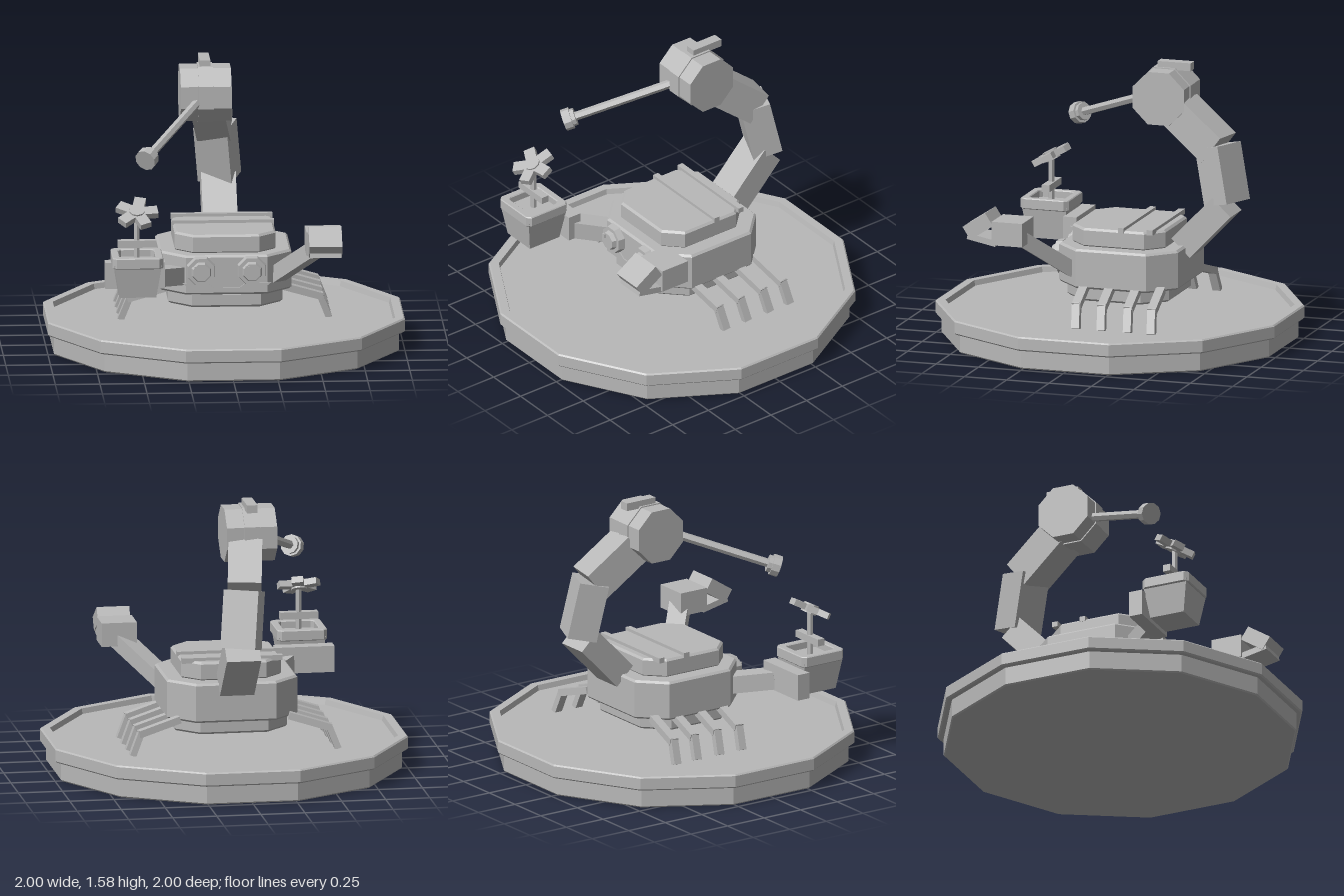
import * as THREE from 'three';

const V = (x, y, z) => new THREE.Vector3(x, y, z);

export function createModel() {
  const root = new THREE.Group();
  const grey = new THREE.MeshStandardMaterial({ color: 0xb8b8b8, flatShading: true });
  grey.name = 'plainGrey';

  function add(name, geo, parent = root) {
    const m = new THREE.Mesh(geo, grey);
    m.name = name;
    parent.add(m);
    return m;
  }

  function box(name, w, h, d, x, y, z, parent) {
    const m = add(name, new THREE.BoxGeometry(w, h, d), parent);
    m.position.set(x, y, z);
    return m;
  }

  // Box running from a to b, w wide sideways and t thick, twisted about its length
  function beam(name, a, b, w, t, side = V(1, 0, 0), twist = 0) {
    const dir = b.clone().sub(a);
    const m = add(name, new THREE.BoxGeometry(w, dir.length(), t));
    const y = dir.normalize();
    const z = side.clone().cross(y).normalize();
    const x = y.clone().cross(z);
    m.quaternion.setFromRotationMatrix(new THREE.Matrix4().makeBasis(x, y, z));
    m.rotateY(twist);
    m.position.copy(a).add(b).multiplyScalar(0.5);
    return m;
  }

  // Rectangle with cut corners
  function octagon(hx, hz, c, Kind = THREE.Shape) {
    return new Kind([
      [hx - c, -hz], [hx, c - hz], [hx, hz - c], [hx - c, hz],
      [c - hx, hz], [-hx, hz - c], [-hx, c - hz], [c - hx, -hz],
    ].map(([x, y]) => new THREE.Vector2(x, y)));
  }

  // Upright slab with cut corners and a small bevel
  function slab(name, hx, hz, c, y0, y1, z, bevel = 0.012, hole = null) {
    const s = octagon(hx - bevel, hz - bevel, c);
    if (hole) s.holes.push(hole);
    const g = new THREE.ExtrudeGeometry(s, {
      depth: y1 - y0 - 2 * bevel, bevelEnabled: bevel > 0,
      bevelSize: bevel, bevelThickness: bevel, bevelSegments: 1,
    });
    g.rotateX(-Math.PI / 2).translate(0, y0 + bevel, z);
    return add(name, g);
  }

  // Twelve-sided stand with a raised rim
  const k = 1 / Math.cos(Math.PI / 12);
  const profile = [
    [0, 0], [0.96, 0], [0.967, 0.008], [0.967, 0.11], [0.992, 0.11], [1, 0.118],
    [1, 0.182], [0.992, 0.19], [0.945, 0.19], [0.938, 0.16], [0, 0.16],
  ].map(([r, y]) => new THREE.Vector2(r * k, y));
  add('stand', new THREE.LatheGeometry(profile, 12, Math.PI / 12));

  // Body tiers
  slab('belly', 0.32, 0.3, 0.12, 0.26, 0.345, -0.055);
  slab('body', 0.37, 0.35, 0.135, 0.34, 0.565, -0.068);
  slab('backShell', 0.283, 0.275, 0.09, 0.56, 0.668, -0.057);
  for (const z of [-0.27, -0.1]) box('shellRidge', 0.57, 0.03, 0.035, 0, 0.67, z);

  // Eyes
  for (const x of [-0.145, 0.14]) {
    const eye = new THREE.Group();
    eye.name = 'eye';
    eye.position.set(x, 0.48, 0.28);
    root.add(eye);
    const socket = add('eyeSocket', new THREE.CylinderGeometry(0.08, 0.087, 0.04, 8, 1, false, Math.PI / 8), eye);
    socket.rotation.x = Math.PI / 2;
    socket.position.z = 0.02;
    const lens = add('eyeLens', new THREE.CylinderGeometry(0.05, 0.06, 0.03, 8, 1, false, Math.PI / 8), eye);
    lens.rotation.x = Math.PI / 2;
    lens.position.z = 0.05;
    box('eyeGlint', 0.022, 0.022, 0.008, -0.028, 0.025, 0.066, eye);
  }

  // Mouth plate under the eyes
  const mouth = new THREE.Shape([[-0.25, 0.41], [-0.2, 0.37], [0.2, 0.37], [0.25, 0.41],
    [0.11, 0.41], [0.07, 0.38], [-0.07, 0.38], [-0.11, 0.41]].map(([x, y]) => new THREE.Vector2(x, y)));
  add('mouth', new THREE.ExtrudeGeometry(mouth, { depth: 0.009, bevelEnabled: false })).position.z = 0.28;

  // Four legs on each side
  for (const s of [-1, 1]) {
    for (const z of [0.1, -0.05, -0.205, -0.345]) {
      const w = V(0, 0, 1);
      beam('upperLeg', V(s * 0.31, 0.352, z), V(s * 0.545, 0.28, z - 0.025), 0.05, 0.04, w);
      beam('lowerLeg', V(s * 0.53, 0.295, z - 0.022), V(s * 0.583, 0.16, z - 0.035), 0.046, 0.036, w);
    }
  }

  // Curled tail
  beam('tailLower', V(0, 0.55, -0.39), V(0, 0.8, -0.63), 0.195, 0.15);
  beam('tailMiddle', V(0.01, 0.81, -0.635), V(-0.02, 1.13, -0.57), 0.2, 0.17, V(1, 0, 0), -0.38);
  beam('tailUpper', V(-0.02, 1.115, -0.575), V(-0.065, 1.31, -0.33), 0.19, 0.19, V(1, 0, 0.15));

  // Tail head: eight-sided drum lying along x
  const drum = (name, r, len, x) => {
    const m = add(name, new THREE.CylinderGeometry(r, r, len, 8, 1, false, Math.PI / 8));
    m.rotation.z = Math.PI / 2;
    m.position.set(x, 1.385, -0.242);
  };
  drum('tailDrum', 0.163, 0.285, -0.094);
  drum('drumBand', 0.17, 0.085, -0.094);
  box('drumHandle', 0.06, 0.045, 0.195, -0.095, 1.553, -0.298);

  // Stinger rod with a stepped knob
  const start = V(-0.13, 1.365, -0.13), end = V(-0.447, 1.155, 0.38);
  const dir = end.clone().sub(start).normalize();
  function rod(name, a, b, r, sides) {
    const m = add(name, new THREE.CylinderGeometry(r, r, a.distanceTo(b), sides));
    m.quaternion.setFromUnitVectors(V(0, 1, 0), dir);
    m.position.copy(a).add(b).multiplyScalar(0.5);
  }
  const along = (d) => end.clone().addScaledVector(dir, d);
  rod('stingerRod', start, end, 0.025, 6);
  rod('knobCollar', along(-0.035), along(0.0), 0.05, 10);
  rod('knob', along(-0.012), along(0.035), 0.062, 10);

  // Left arm with an open claw
  beam('leftArm', V(0.25, 0.4, 0.16), V(0.53, 0.655, 0.43), 0.11, 0.085, V(1, 0, -0.9));
  box('clawPalm', 0.2, 0.135, 0.18, 0.532, 0.683, 0.455);
  box('upperClaw', 0.185, 0.085, 0.16, 0.532, 0.715, 0.63).rotation.x = 0.58;
  box('lowerClaw', 0.175, 0.035, 0.17, 0.532, 0.638, 0.61).rotation.x = -0.2;

  // Right arm with a flat hand behind the pot
  beam('rightArm', V(-0.2, 0.43, 0.14), V(-0.42, 0.475, 0.41), 0.11, 0.1, V(1, 0, 0.8));
  box('rightHand', 0.335, 0.15, 0.08, -0.522, 0.495, 0.415);

  // Flower pot
  const px = -0.52, pz = 0.578;
  const tub = add('pot', new THREE.CylinderGeometry(0.133 * Math.SQRT2, 0.103 * Math.SQRT2, 0.19, 4, 1, false, Math.PI / 4));
  tub.position.set(px, 0.515, pz);
  slab('potRim', 0.142, 0.142, 0.02, 0.59, 0.652, pz, 0.005, octagon(0.105, 0.105, 0.02, THREE.Path)).position.x = px;

  // Plant
  const stem = add('stem', new THREE.CylinderGeometry(0.018, 0.018, 0.28, 6));
  stem.position.set(px, 0.74, pz);
  box('leaf', 0.215, 0.04, 0.045, px, 0.708, pz);
  const flower = new THREE.Group();
  flower.name = 'flower';
  flower.position.set(px, 0.88, pz);
  flower.rotation.x = 0.5;
  root.add(flower);
  add('flowerCentre', new THREE.CylinderGeometry(0.045, 0.045, 0.055, 10), flower);
  for (let i = 0; i < 5; i++) {
    const petal = new THREE.Group();
    petal.name = 'petal';
    petal.rotation.y = i * Math.PI * 0.4 + 0.1;
    flower.add(petal);
    box('petalBlade', 0.085, 0.036, 0.065, 0.075, 0, 0, petal);
  }

  return root;
}
